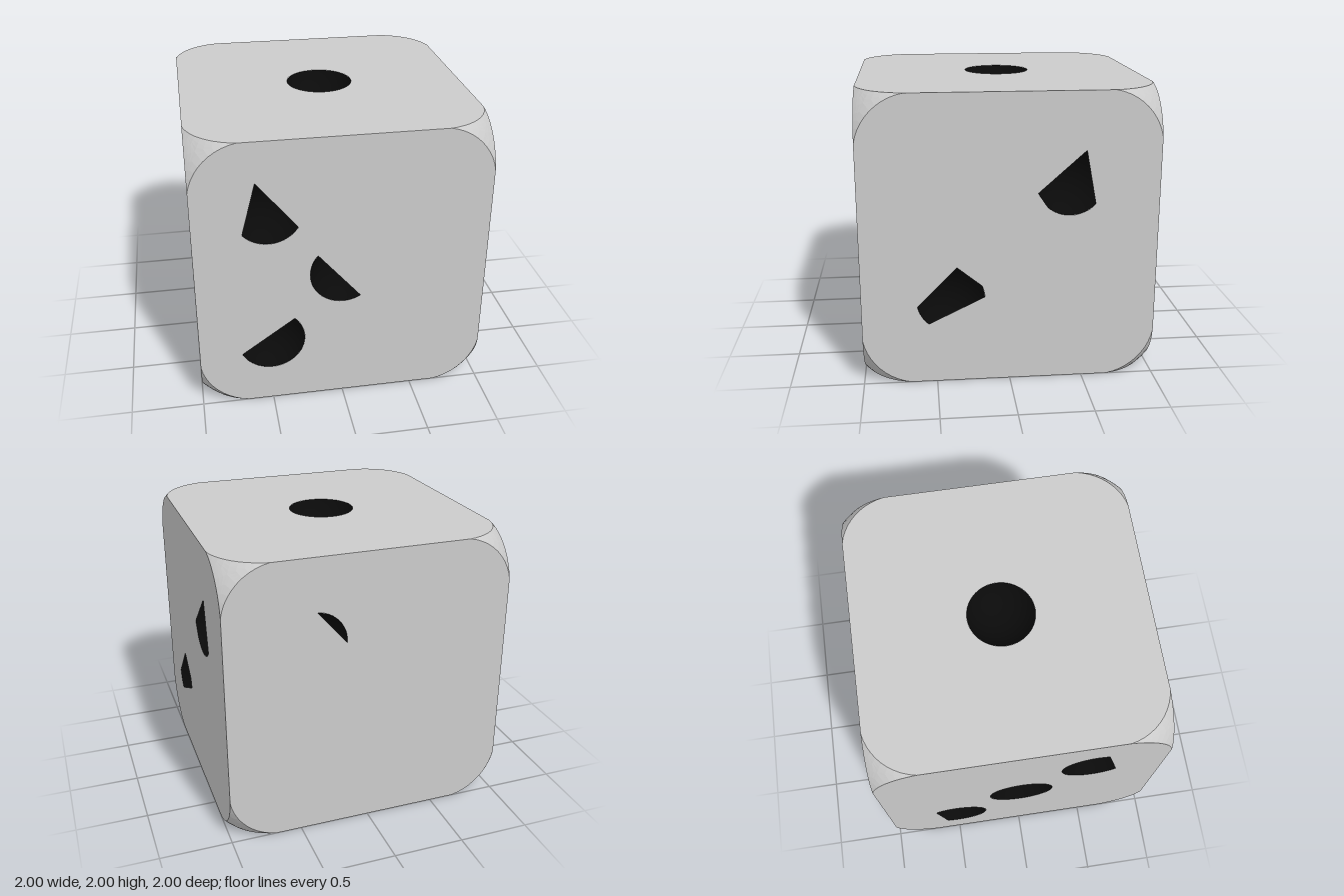
import * as THREE from 'three';
import { mergeGeometries } from 'three/addons/utils/BufferGeometryUtils.js';

const C = 0.61;                 // centre of each corner rounding
const ARC = 0.396;              // radius of the corner arc drawn on a face
const R = Math.hypot(1 - C, ARC); // radius of the corner sphere
const T0 = Math.asin(Math.sqrt(ARC * ARC - (1 - C) ** 2) / ARC);
const SEG = 10, RINGS = 3;
const PIP = 0.23, DEPTH = 0.15;
const rad = THREE.MathUtils.degToRad;
const angle = i => T0 + (Math.PI / 2 - 2 * T0) * i / SEG;

// Each face: right and up axes, then pips as [u, v, arcs]. The arcs, in degrees,
// are joined by straight lines to outline the opening; a single angle is a corner.
const faces = [
  { name: 'topFace', u: [1, 0, 0], v: [0, 0, -1], pips: [[0, 0, [[0, 355]]]] },
  { name: 'frontFace', u: [1, 0, 0], v: [0, 1, 0], pips: [
    [-0.5, 0.5, [[110], [221, 328]]],
    [0, 0, [[140, 301]]],
    [-0.5, -0.5, [[205.5, 405]]]] },
  { name: 'rightFace', u: [0, 0, -1], v: [0, 1, 0], pips: [
    [0.4, 0.4, [[64.5], [199], [228.6, 317]]],
    [-0.4, -0.4, [[2.5, 23], [79], [192, 229]]]] },
  { name: 'leftFace', u: [0, 0, 1], v: [0, 1, 0], pips: [
    [0.5, 0.5, [[70, 315]]],
    [0, 0, [[0, 355]]],
    [-0.5, -0.5, [[249.5, 491]]]] },
  { name: 'backFace', u: [-1, 0, 0], v: [0, 1, 0], pips: [[-0.4, 0.4, [[-3, 84]]]] },
  { name: 'bottomFace', u: [-1, 0, 0], v: [0, 0, -1], pips: [
    [-0.58, 0.48, [[159], [295, 345]]],
    [0, 0.48, [[198, 321]]],
    [0.58, 0.48, [[19], [178.5, 268.5]]],
    [0, -0.48, [[52, 85]]],
    [0.58, -0.48, [[135, 160]]]] },
];

// Outline of a pip opening
function pipPoints([u, v, arcs]) {
  const pts = [];
  for (const [a, b = a] of arcs) {
    const n = Math.ceil((b - a) / 5);
    for (let i = 0; i <= n; i++) {
      const t = rad(n ? a + (b - a) * i / n : a);
      pts.push(new THREE.Vector2(u + PIP * Math.cos(t), v + PIP * Math.sin(t)));
    }
  }
  return pts;
}

// Flat face with four rounded corners and the pip openings
function flatFace(pips) {
  const pts = [];
  for (let k = 0; k < 4; k++) {
    for (let i = 0; i <= SEG; i++) {
      const t = angle(i);
      pts.push(new THREE.Vector2(C + ARC * Math.cos(t), C + ARC * Math.sin(t))
        .rotateAround(new THREE.Vector2(), k * Math.PI / 2));
    }
  }
  const shape = new THREE.Shape(pts);
  for (const p of pips) shape.holes.push(new THREE.Path(pipPoints(p)));
  return new THREE.ShapeGeometry(shape).translate(0, 0, 1);
}

// This face's third of one spherical corner, from the arc out to the edges
function cornerPatch() {
  const pos = [], index = [], d = 1 - C;
  for (let i = 0; i <= SEG; i++) {
    const t = angle(i), c = Math.cos(t), s = Math.sin(t);
    const outer = d / Math.max(c, s);
    for (let j = 0; j <= RINGS; j++) {
      const r = ARC + (outer - ARC) * j / RINGS;
      const p = new THREE.Vector3(r * c, r * s, d).setLength(R).addScalar(C);
      pos.push(p.x, p.y, p.z);
      if (i < SEG && j < RINGS) {
        const a = i * (RINGS + 1) + j, b = a + RINGS + 1;
        index.push(a, a + 1, b + 1, a, b + 1, b);
      }
    }
  }
  const g = new THREE.BufferGeometry();
  g.setAttribute('position', new THREE.Float32BufferAttribute(pos, 3));
  g.setIndex(index);
  g.computeVertexNormals();
  return g;
}

// Shallow bowl sunk below a pip opening
function bowl(u, v) {
  const r = (PIP * PIP + DEPTH * DEPTH) / (2 * DEPTH);
  const span = Math.asin(PIP / r);
  return new THREE.SphereGeometry(r, 36, 8, 0, Math.PI * 2, Math.PI - span, span)
    .rotateX(Math.PI / 2).translate(u, v, 1 - DEPTH + r);
}

export function createModel() {
  const model = new THREE.Group();
  model.name = 'die';
  const grey = new THREE.MeshStandardMaterial({ color: 0xcccccc, flatShading: true });
  const black = new THREE.MeshStandardMaterial({ color: 0x0a0a0a, side: THREE.DoubleSide });

  for (const { name, u, v, pips } of faces) {
    const right = new THREE.Vector3(...u), up = new THREE.Vector3(...v);
    const face = new THREE.Group();
    face.name = name;
    face.quaternion.setFromRotationMatrix(
      new THREE.Matrix4().makeBasis(right, up, right.clone().cross(up)));
    face.position.y = 1;

    const panel = new THREE.Mesh(flatFace(pips), grey);
    panel.name = 'panel';
    const corners = new THREE.Mesh(mergeGeometries(
      [0, 1, 2, 3].map(k => cornerPatch().rotateZ(k * Math.PI / 2))), grey);
    corners.name = 'roundedCorners';
    const dots = new THREE.Mesh(mergeGeometries(pips.map(p => bowl(p[0], p[1]))), black);
    dots.name = 'pips';
    face.add(panel, corners, dots);
    model.add(face);
  }
  return model;
}
